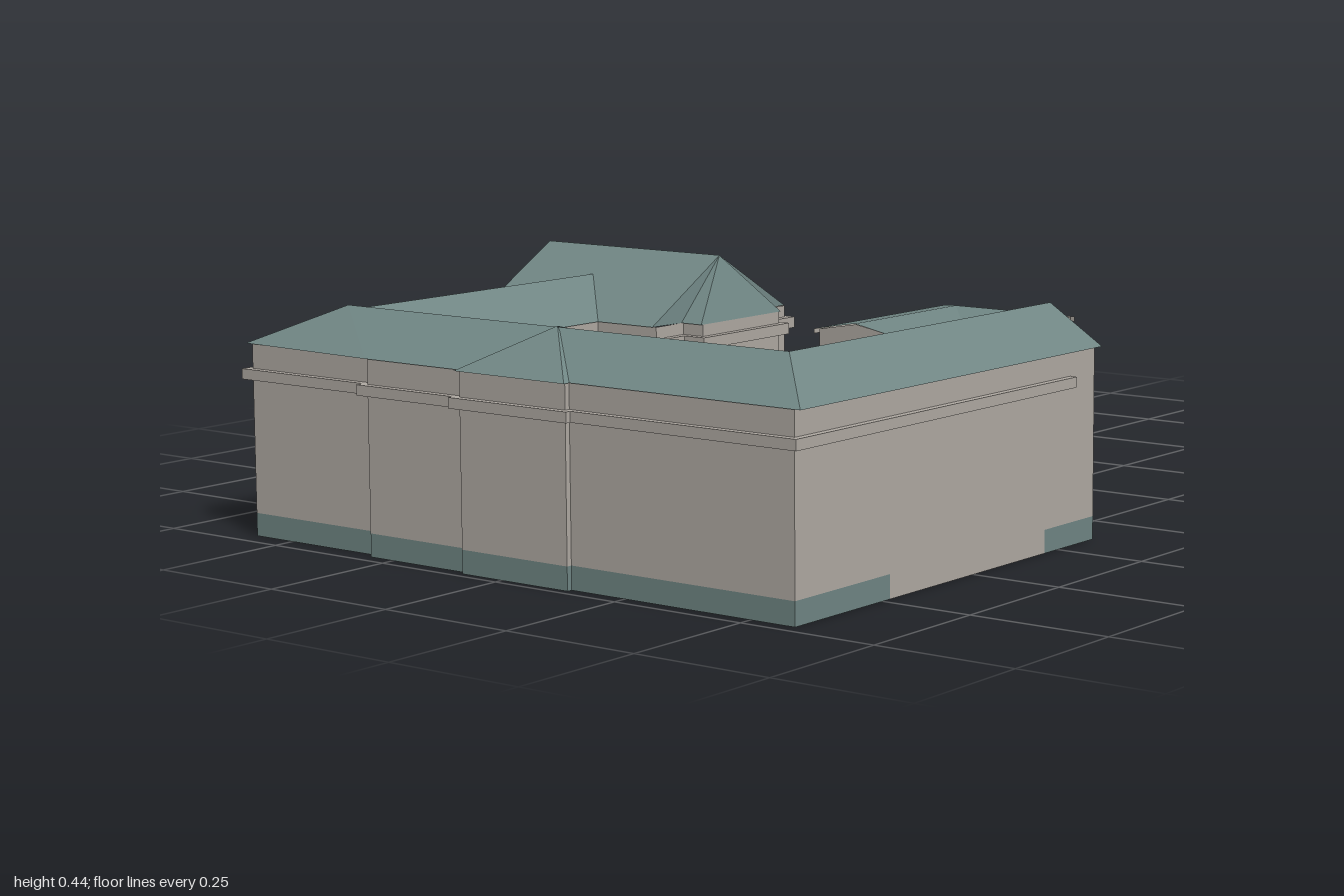
import * as THREE from 'three';

const roofMat = new THREE.MeshStandardMaterial({ color: 0x708684, side: THREE.DoubleSide });
roofMat.name = 'slate teal';
const wallMat = new THREE.MeshStandardMaterial({ color: 0xb0aaa3, side: THREE.DoubleSide });
wallMat.name = 'warm grey plaster';

const EAVE = 0.333, RIDGE = 0.4, TOP = 0.443, BASE = 0.04;

// Flat-shaded sheet from convex polygons, each a list of [x, y, z]
function sheet(name, mat, polys) {
  const pos = [];
  for (const p of polys)
    for (let i = 1; i < p.length - 1; i++) pos.push(...p[0], ...p[i], ...p[i + 1]);
  const geo = new THREE.BufferGeometry();
  geo.setAttribute('position', new THREE.Float32BufferAttribute(pos, 3));
  geo.computeVertexNormals();
  const mesh = new THREE.Mesh(geo, mat);
  mesh.name = name;
  return mesh;
}

// Upright band along a plan path of [x, z]
function band(name, mat, path, y0, y1) {
  return sheet(name, mat, path.slice(1).map(([x, z], i) => {
    const [a, b] = path[i];
    return [[a, y0, b], [x, y0, z], [x, y1, z], [a, y1, b]];
  }));
}

// Wall with a coloured base course
function wall(name, path, height = EAVE) {
  const g = new THREE.Group();
  g.name = name;
  g.add(band(name + 'Base', roofMat, path, 0, BASE));
  g.add(band(name + 'Face', wallMat, path, BASE, height));
  return g;
}

// Projecting moulding along a plan path
function cornice(name, path, y0, y1, t = 0.026) {
  const g = new THREE.Group();
  g.name = name;
  path.slice(1).forEach(([x, z], i) => {
    const [a, b] = path[i];
    const box = new THREE.Mesh(
      new THREE.BoxGeometry(Math.hypot(x - a, z - b) + t, y1 - y0, t), wallMat);
    box.position.set((a + x) / 2, (y0 + y1) / 2, (b + z) / 2);
    box.rotation.y = -Math.atan2(z - b, x - a);
    box.name = name + 'Run';
    g.add(box);
  });
  return g;
}

function mainWalls() {
  const g = new THREE.Group();
  g.name = 'mainWalls';
  // south front, with its base course only at both ends
  g.add(band('southFrontFace', wallMat, [[-0.14, 0.585], [-0.975, 0.585]], BASE, EAVE));
  g.add(band('southFrontPlainBase', wallMat, [[-0.29, 0.585], [-0.73, 0.585]], 0, BASE));
  g.add(band('southFrontBaseEast', roofMat, [[-0.14, 0.585], [-0.29, 0.585]], 0, BASE));
  g.add(band('southFrontBaseWest', roofMat, [[-0.73, 0.585], [-0.975, 0.585]], 0, BASE));
  // west and north sides
  const west = [[-0.975, 0.585], [-0.975, 0.14], [-0.985, 0.14], [-0.985, -0.085],
    [-0.975, -0.085], [-0.975, -0.3], [-0.96, -0.3], [-0.96, -0.585]];
  const north = [[-0.96, -0.585], [-0.785, -0.585], [-0.785, -0.505], [-0.4, -0.505]];
  g.add(wall('westWall', west), wall('northWall', north));
  // courtyard side
  const southYard = [[-0.14, 0.37], [-0.735, 0.37]];
  const bay = [[-0.735, 0.14], [-0.64, 0.14], [-0.64, 0.1], [-0.622, 0.08], [-0.615, 0.025],
    [-0.622, -0.02], [-0.64, -0.05], [-0.64, -0.08], [-0.735, -0.08]];
  const yard = [[-0.735, 0.37], ...bay, [-0.735, -0.295], [-0.4, -0.295]];
  g.add(wall('southYardWall', southYard), wall('yardWall', yard));
  // pavilion with its projecting front bay
  const pavilion = [[-0.4, -0.295], [-0.4, -0.16], [-0.325, -0.16], [-0.325, -0.115],
    [-0.105, -0.115], [-0.105, -0.16], [-0.03, -0.16], [-0.03, -0.29]];
  g.add(wall('pavilionWall', pavilion));
  g.add(wall('porchBackWall', [[-0.4, -0.505], [-0.03, -0.505]]));
  g.add(band('porchBeam', wallMat,
    [[-0.03, -0.29], [-0.03, -0.565], [-0.4, -0.565], [-0.4, -0.505]], 0.29, EAVE));

  // mouldings below the eaves
  g.add(cornice('southFrontCornice', [[-0.975, 0.585], [-0.228, 0.585]], 0.272, 0.29));
  g.add(cornice('westCornice', west, 0.272, 0.29));
  g.add(cornice('northCornice', north, 0.272, 0.29));
  g.add(cornice('southYardCornice', [[-0.22, 0.37], [-0.735, 0.37]], 0.292, 0.312));
  g.add(cornice('yardCornice', yard, 0.292, 0.312));
  g.add(cornice('pavilionCornice', pavilion.slice(0, -1).concat([[-0.03, -0.275]]), 0.292, 0.312));
  const bracket = new THREE.Mesh(new THREE.BoxGeometry(0.08, 0.016, 0.012), wallMat);
  bracket.position.set(0.01, 0.304, -0.29);
  bracket.name = 'porchBracket';
  g.add(bracket);
  return g;
}

function wingRoofs() {
  const g = new THREE.Group();
  g.name = 'wingRoofs';
  const e = (x, z) => [x, EAVE, z], r = (x, z) => [x, RIDGE, z];
  const sw = r(-0.87, 0.495), nw = r(-0.87, -0.4), nEnd = r(-0.87, -0.445);
  g.add(sheet('southRoof', roofMat, [
    [e(-0.98, 0.6), e(-0.14, 0.6), r(-0.14, 0.495), sw],
    [e(-0.14, 0.36), e(-0.73, 0.36), sw, r(-0.14, 0.495)],
  ]));
  g.add(sheet('westRoof', roofMat, [
    [e(-0.98, -0.3), e(-0.98, 0.6), sw, nw],
    [e(-0.73, 0.36), e(-0.73, -0.29), nw, sw],
    [e(-0.98, -0.3), nw, nEnd, e(-0.965, -0.595)],
    [e(-0.965, -0.595), nEnd, e(-0.78, -0.595)],
    [e(-0.78, -0.595), nEnd, nw, e(-0.78, -0.515)],
  ]));
  g.add(sheet('northRoof', roofMat, [
    [e(-0.73, -0.29), e(-0.405, -0.29), r(-0.29, -0.4), nw],
    [e(-0.405, -0.515), e(-0.78, -0.515), nw, r(-0.29, -0.4)],
  ]));
  // fanned roof over the central bay
  const apex = [-0.87, RIDGE + 0.002, 0.025];
  const rim = [[-0.73, 0.14], [-0.635, 0.145], [-0.622, 0.1], [-0.61, 0.07], [-0.605, 0.025],
    [-0.61, -0.02], [-0.622, -0.06], [-0.635, -0.095], [-0.73, -0.085]];
  const fan = rim.slice(1).map((p, i) => [apex, e(...rim[i]), e(...p)]);
  fan.push([apex, e(-0.993, -0.09), e(-0.993, 0.145)],
    [apex, e(-0.993, 0.145), e(-0.95, 0.145)], [apex, e(-0.95, -0.09), e(-0.993, -0.09)]);
  g.add(sheet('bayRoof', roofMat, fan));
  return g;
}

function pavilionRoof() {
  const g = new THREE.Group();
  g.name = 'pavilionRoof';
  const back = [-0.215, TOP, -0.57], front = [-0.215, TOP, -0.165];
  const c = (x, z) => [x, EAVE, z];
  g.add(sheet('pavilionSlopes', roofMat, [
    [c(-0.405, -0.57), c(-0.405, -0.165), front, back],
    [c(-0.025, -0.165), c(-0.025, -0.57), back, front],
  ]));
  const rim = [[-0.405, -0.165], [-0.33, -0.16], [-0.33, -0.115], [-0.1, -0.115],
    [-0.1, -0.16], [-0.025, -0.165]];
  g.add(sheet('frontHip', roofMat, rim.slice(1).map((p, i) => [front, c(...rim[i]), c(...p)])));
  g.add(sheet('rearGable', wallMat, [[c(-0.4, -0.565), [-0.215, TOP - 0.003, -0.565], c(-0.03, -0.565)]]));
  return g;
}

function terrace() {
  const g = new THREE.Group();
  g.name = 'terrace';
  g.add(wall('terraceWall', [[-0.03, -0.505], [-0.03, -0.583], [-0.4, -0.583], [-0.4, -0.505]], 0.085));
  const cap = new THREE.Mesh(new THREE.BoxGeometry(0.382, 0.015, 0.082), wallMat);
  cap.position.set(-0.215, 0.0925, -0.546);
  cap.name = 'terraceCap';
  // turned column with base and capital
  const profile = [[0, 0], [0.015, 0], [0.015, 0.01], [0.011, 0.016], [0.013, 0.022],
    [0.01, 0.03], [0.008, 0.175], [0.012, 0.182], [0.012, 0.19], [0, 0.19]];
  const column = new THREE.Mesh(
    new THREE.LatheGeometry(profile.map(p => new THREE.Vector2(...p)), 12), wallMat);
  column.position.set(-0.38, 0.1, -0.553);
  column.name = 'porchColumn';
  g.add(cap, column);
  return g;
}

function annex() {
  const g = new THREE.Group();
  g.name = 'annex';
  const lo = 0.2, hi = 0.218;
  g.add(wall('annexWall', [[0.535, -0.505], [0.535, -0.32], [0.78, -0.32], [0.78, -0.188],
    [0.99, -0.188], [0.99, -0.505], [0.535, -0.505]], lo));
  const c = (x, z) => [x, lo, z], h = (x, z) => [x, hi, z];
  const k = h(0.89, -0.412);
  g.add(sheet('annexRoof', roofMat, [
    [c(0.53, -0.315), c(0.775, -0.315), k, h(0.53, -0.412)],
    [c(1, -0.515), c(0.53, -0.515), h(0.53, -0.412), k],
    [c(0.775, -0.315), c(0.775, -0.185), h(0.89, -0.185), k],
    [c(1, -0.185), c(1, -0.515), k, h(0.89, -0.185)],
  ]));
  g.add(sheet('annexGables', wallMat, [
    [c(0.535, -0.505), c(0.535, -0.32), [0.535, hi - 0.002, -0.412]],
    [c(0.78, -0.188), c(0.99, -0.188), [0.89, hi - 0.002, -0.188]],
  ]));
  g.add(band('annexFascia', wallMat, [[0.53, -0.515], [1, -0.515], [1, -0.185]], 0.19, lo));
  return g;
}

export function createModel() {
  const model = new THREE.Group();
  model.name = 'courtyardBuilding';
  model.add(mainWalls(), wingRoofs(), pavilionRoof(), terrace(), annex());
  return model;
}
